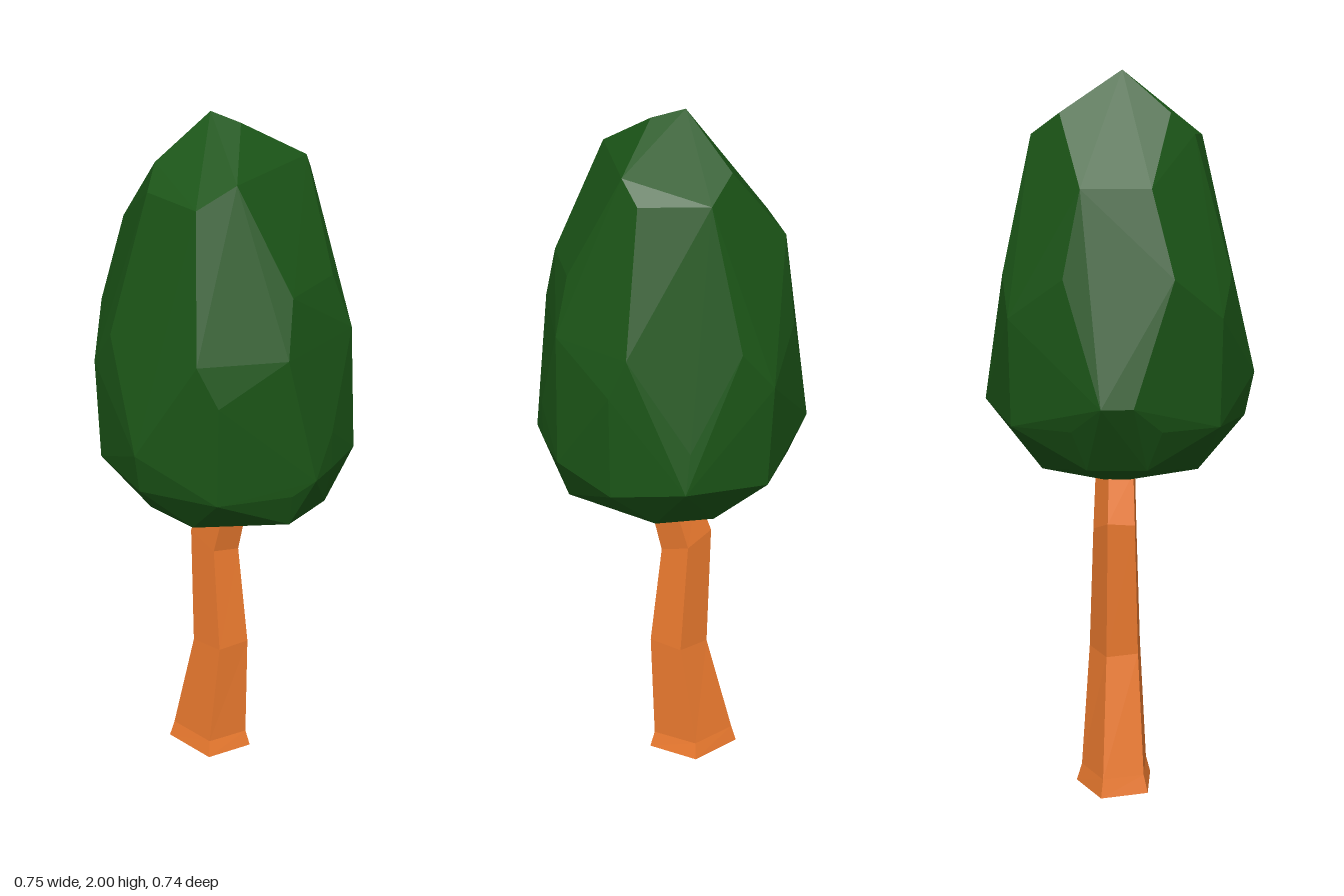
import * as THREE from 'three';
import { ConvexGeometry } from 'three/addons/geometries/ConvexGeometry.js';

// Trunk sections from the ground up: [y, centre z, radius x, radius z, tilt]
const SECTIONS = [
  [0, -0.06, 0.115, 0.14, 0],
  [0.05, -0.06, 0.1, 0.125, 0],
  [0.39, -0.015, 0.078, 0.088, 0.1],
  [0.74, -0.037, 0.066, 0.075, -0.4],
  [0.9, 0.005, 0.06, 0.073, 0],
  [1.02, 0.02, 0.05, 0.06, 0],
];

// Crown corners, grouped by height: [y, [x, z], ...]
const CROWN = [
  // ridge and shoulders
  [2, [-0.01, -0.035]],
  [1.985, [0, 0.055]],
  [1.885, [-0.14, -0.11], [0.155, -0.125], [-0.145, 0.16], [0.15, 0.15]],
  [1.83, [-0.205, -0.08], [-0.23, 0.1], [0.235, -0.06], [0.21, 0.12]],
  [1.69, [-0.09, -0.27], [0.095, -0.28]],
  [1.61, [-0.095, 0.3], [0.09, 0.287]],
  // sides
  [1.46, [-0.305, -0.13], [-0.315, 0.17], [0.13, 0.325], [-0.14, 0.325],
    [-0.15, -0.305], [0.14, -0.3], [0.31, -0.13], [0.3, 0.165]],
  [1.35, [0.285, 0.21], [0.29, -0.22], [-0.29, 0.22], [-0.28, -0.215]],
  [1.21, [0.355, 0.01], [0.01, 0.36]],
  [1.18, [-0.378, 0.01]],
  [1.13, [0.04, -0.37], [-0.045, -0.362]],
  [1.1, [0.375, 0.025], [-0.07, 0.37], [0.01, 0.36], [0.148, 0.335]],
  // rounded underside
  [1.06, [0.285, 0.21], [0.285, -0.21], [-0.285, 0.21], [-0.275, -0.21],
    [-0.352, 0], [-0.12, 0.33], [-0.12, -0.3], [0.12, -0.3]],
  [0.95, [0.07, 0.3], [-0.09, 0.3], [0.08, -0.26], [-0.08, -0.26]],
  [0.92, [-0.23, 0.08], [-0.22, -0.08], [0.21, 0.08], [0.21, -0.08]],
  [0.885, [0, 0.06], [-0.03, -0.06], [0.04, -0.06]],
];

function flat(color) {
  return new THREE.MeshStandardMaterial({ color, flatShading: true });
}

// Five-sided trunk, each row of a plain prism fitted to its section
function trunkGeometry() {
  const rows = SECTIONS.length - 1;
  const geometry = new THREE.CylinderGeometry(1, 1, rows, 5, rows, false, Math.PI / 12);
  const p = geometry.attributes.position;
  for (let i = 0; i < p.count; i++) {
    const [y, cz, rx, rz, tilt] = SECTIONS[Math.round(p.getY(i) + rows / 2)];
    const dz = p.getZ(i) * rz;
    p.setXYZ(i, p.getX(i) * rx + 0.005, y + tilt * dz, cz + dz);
  }
  geometry.computeVertexNormals();
  return geometry;
}

export function createModel() {
  const tree = new THREE.Group();
  tree.name = 'tree';

  const trunk = new THREE.Mesh(trunkGeometry(), flat(0xeb7a2f));
  trunk.name = 'trunk';

  // Faceted foliage
  const corners = CROWN.flatMap(([y, ...ring]) => ring.map(([x, z]) => new THREE.Vector3(x, y, z)));
  const crown = new THREE.Mesh(new ConvexGeometry(corners), flat(0x1b5517));
  crown.name = 'crown';

  tree.add(trunk, crown);
  return tree;
}
